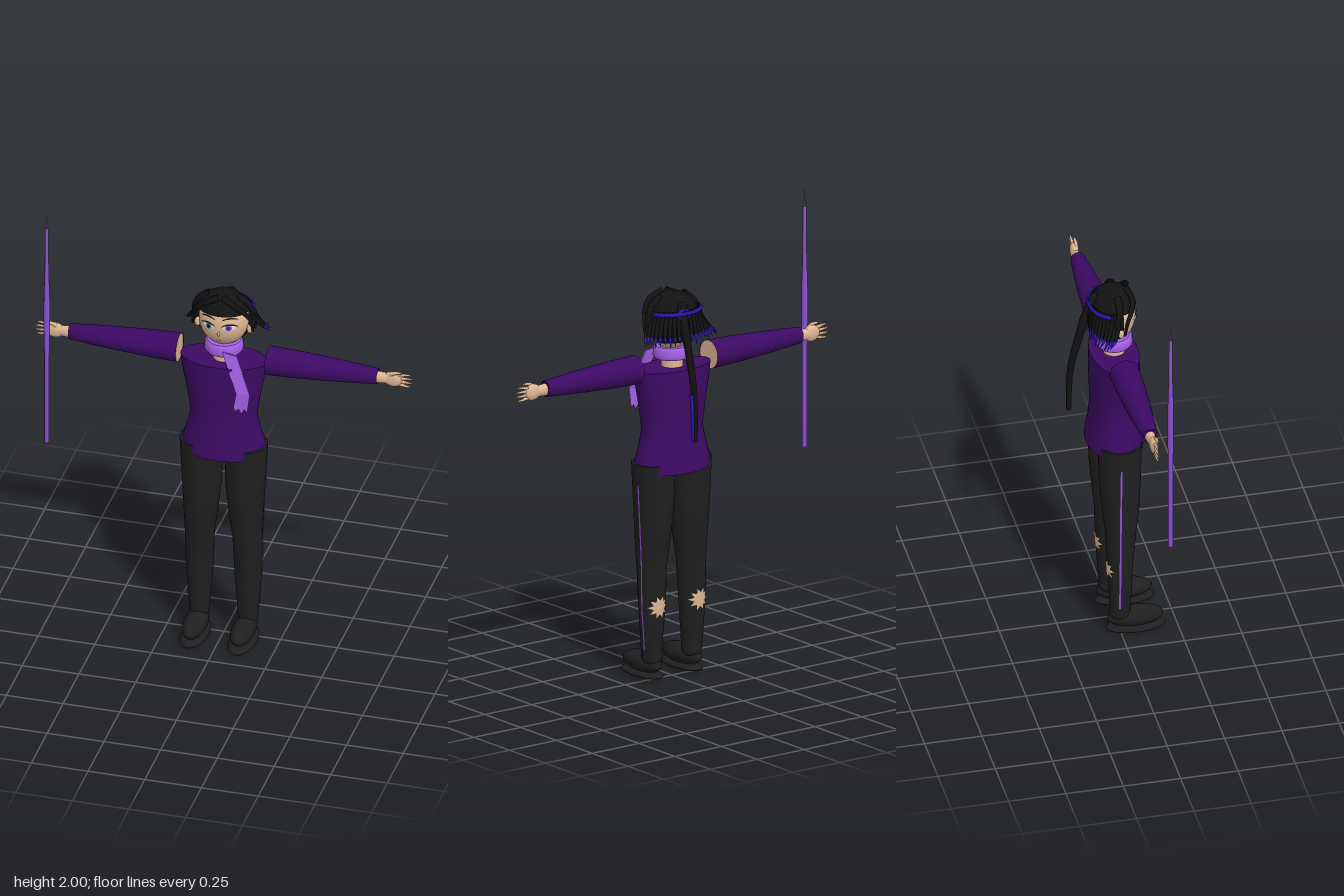
import * as THREE from 'three';

const mat = (name, color, side = THREE.DoubleSide) => {
  const m = new THREE.MeshStandardMaterial({ color, side });
  m.name = name;
  return m;
};

export function createModel() {
  const root = new THREE.Group();
  const sweater = mat('sweater purple', 0x3c0a64);
  const cloth = mat('trouser black', 0x1f1f1f);
  const hair = mat('hair black', 0x111211);
  const skin = mat('skin', 0xe0b893);
  const scarf = mat('scarf lilac', 0xa560e6);
  const violet = mat('staff violet', 0x8c52d4);
  const indigo = mat('hair tip indigo', 0x2c14b0);
  const white = mat('eye white', 0xe4e4ea);
  const blue = mat('iris blue', 0x4f86b8);
  const steel = mat('spike grey', 0x777780);

  const add = (name, geo, material, x = 0, y = 0, z = 0) => {
    const m = new THREE.Mesh(geo, material);
    m.name = name;
    m.position.set(x, y, z);
    root.add(m);
    return m;
  };
  const ball = (rx, ry, rz, w = 28, h = 18) => new THREE.SphereGeometry(1, w, h).scale(rx, ry, rz);

  // Elliptical loft through rows of [y, rx, rz, cx, cz], top to bottom
  const loft = (rows, open = false, sides = 32) => {
    const n = rows.length - 1;
    const g = new THREE.CylinderGeometry(1, 1, 1, sides, n, open);
    const p = g.attributes.position;
    for (let i = 0; i < p.count; i++) {
      const [y, rx, rz, cx = 0, cz = 0] = rows[Math.round((0.5 - p.getY(i)) * n)];
      p.setXYZ(i, p.getX(i) * rx + cx, y, p.getZ(i) * rz + cz);
    }
    g.computeVertexNormals();
    return g;
  };

  // Tapered lock of hair along a curve, between parameters a and b
  const lock = (name, pts, r0, r1, material, a = 0, b = 1) => {
    const full = new THREE.CatmullRomCurve3(pts.map((q) => new THREE.Vector3(...q)));
    const curve = new THREE.CatmullRomCurve3([0, 1, 2, 3, 4].map((i) => full.getPoint(a + (b - a) * i / 4)));
    const g = new THREE.TubeGeometry(curve, 10, 1, 6);
    const p = g.attributes.position, v = new THREE.Vector3();
    for (let i = 0; i < p.count; i++) {
      const t = Math.floor(i / 7) / 10, c = curve.getPointAt(t);
      v.fromBufferAttribute(p, i).sub(c).multiplyScalar(r0 + (r1 - r0) * t).add(c);
      p.setXYZ(i, v.x, v.y, v.z);
    }
    add(name, g, material);
  };

  // Thin patch laid on a surface z = f(x, y); the rim may be jagged
  const decal = (name, cx, cy, w, h, f, material, jag = 0, bend = 0) => {
    const g = new THREE.RingGeometry(0.001, 1, 20, 4);
    const p = g.attributes.position;
    for (let i = 0; i < p.count; i++) {
      const k = 1 - (i % 21 % 2) * jag;
      const x = cx + p.getX(i) * w * k;
      const y = cy + p.getY(i) * h * k - bend * p.getX(i) ** 2;
      p.setXYZ(i, x, y, f(x, y));
    }
    g.computeVertexNormals();
    add(name, g, material);
  };

  // Sweater body and neck
  add('sweaterBody', loft([
    [1.37, 0.19, 0.103], [1.3, 0.18, 0.106], [1.2, 0.16, 0.105], [1.1, 0.145, 0.102],
    [1.02, 0.163, 0.11], [0.96, 0.182, 0.119], [0.92, 0.185, 0.123],
  ]), sweater);
  add('neck', new THREE.CylinderGeometry(0.045, 0.047, 0.13, 24), skin, 0, 1.42, 0);

  // Legs, shoes, side stripes and torn patches
  const legRows = [
    [0.96, 0.094, 0.094, 0.098, 0.003], [0.75, 0.085, 0.089, 0.096, 0.003], [0.6, 0.073, 0.078, 0.1, 0.006],
    [0.5, 0.064, 0.066, 0.105, 0.005], [0.33, 0.06, 0.056, 0.107, 0], [0.2, 0.05, 0.049, 0.107, 0.002],
    [0.09, 0.043, 0.043, 0.107, 0.003],
  ];
  const legAt = (y) => {
    let i = 0;
    while (i < legRows.length - 2 && y < legRows[i + 1][0]) i++;
    const a = legRows[i], b = legRows[i + 1], t = (a[0] - y) / (a[0] - b[0]);
    return a.map((v, k) => v + (b[k] - v) * t);
  };
  for (const s of [-1, 1]) {
    add('trouserLeg', loft(legRows.map(([y, rx, rz, cx, cz]) => [y, rx, rz, cx * s, cz])), cloth);
    add('shoe', ball(0.05, 0.045, 0.122), cloth, s * 0.106, 0.066, 0.068);
    add('ankle', ball(0.042, 0.05, 0.045), cloth, s * 0.106, 0.1, 0);
    add('sole', ball(0.058, 0.018, 0.13), cloth, s * 0.106, 0.018, 0.07);
    const g = new THREE.PlaneGeometry(0.008, 0.73, 1, 24);
    const p = g.attributes.position;
    for (let i = 0; i < p.count; i++) {
      const y = p.getY(i) + 0.505, [, rx, , cx] = legAt(y);
      p.setXYZ(i, s * (cx + rx + 0.002), y, p.getX(i) - 0.01);
    }
    g.computeVertexNormals();
    add('sideStripe', g, violet);
    const back = (x, y) => {
      const [, rx, rz, cx, cz] = legAt(y);
      return cz - rz * Math.sqrt(Math.max(0, 1 - ((x - s * cx) / rx) ** 2)) - 0.003;
    };
    decal('tornPatch', s * 0.108, 0.33, 0.05, 0.05, back, skin, 0.4);
  }

  // Arms: sleeve, bare inner end, wrist, palm, fingers
  for (const s of [-1, 1]) {
    const along = (g) => g.rotateZ(-s * Math.PI / 2);
    add('sleeve', along(loft([
      [0.68, 0.035, 0.031], [0.6, 0.042, 0.04], [0.48, 0.05, 0.052], [0.34, 0.058, 0.06], [0.195, 0.063, 0.065],
    ], true)), sweater, 0, 1.383, 0);
    add('armEnd', new THREE.CircleGeometry(0.062, 28).rotateY(-s * Math.PI / 2), skin, s * 0.197, 1.383, 0);
    add('cuffEnd', new THREE.CircleGeometry(0.031, 28).rotateY(s * Math.PI / 2), sweater, s * 0.678, 1.383, 0);
    add('wrist', along(loft([[0.73, 0.024, 0.015], [0.67, 0.027, 0.023]])), skin, 0, 1.38, 0);
    add('palm', ball(0.042, 0.036, 0.018), skin, s * 0.745, 1.38, 0);
    for (let i = 0; i < 4; i++) {
      const o = i - 1.5;
      lock('finger', [[s * 0.765, 1.38 + o * 0.013, 0], [s * 0.8, 1.38 + o * 0.018, 0],
        [s * (0.832 - Math.abs(o) * 0.007), 1.38 + o * 0.019, 0]], 0.009, 0.004, skin);
    }
    lock('thumb', [[s * 0.73, 1.4, 0.005], [s * 0.757, 1.416, 0.01], [s * 0.785, 1.418, 0.01]], 0.011, 0.005, skin);
  }

  // Staff with a needle tip
  const staff = [[0, 0.86], [0.011, 0.86], [0.011, 1.3], [0.014, 1.42], [0.014, 1.55], [0.009, 1.72], [0.008, 1.92], [0, 1.92]];
  add('staff', new THREE.LatheGeometry(staff.map((q) => new THREE.Vector2(...q)), 8), violet, -0.762, 0, 0.07);
  add('staffSpike', new THREE.CylinderGeometry(0.0015, 0.004, 0.08, 6), steel, -0.762, 1.96, 0.07);

  // Scarf wrap and hanging tail
  add('scarfWrap', loft([[1.46, 0.072, 0.066], [1.452, 0.082, 0.076], [1.42, 0.084, 0.08], [1.408, 0.076, 0.072]]), scarf);
  const tail = new THREE.Shape([[0.015, 1.44], [0.08, 1.43], [0.145, 1.265], [0.135, 1.18], [0.122, 1.192], [0.11, 1.17],
    [0.097, 1.19], [0.08, 1.178], [0.074, 1.195], [0.085, 1.265]].map((q) => new THREE.Vector2(...q)));
  const tailGeo = new THREE.ExtrudeGeometry(tail, { depth: 0.008, bevelEnabled: false });
  const tp = tailGeo.attributes.position;
  for (let i = 0; i < tp.count; i++) tp.setZ(i, tp.getZ(i) + 0.075 + Math.min(1, (1.44 - tp.getY(i)) / 0.18) * 0.034);
  tailGeo.computeVertexNormals();
  add('scarfTail', tailGeo, scarf);

  // Head, ears, nose
  add('head', ball(0.108, 0.12, 0.09, 36, 24), skin, 0, 1.565, 0);
  add('nose', ball(0.006, 0.011, 0.01, 12, 8), skin, 0, 1.532, 0.085);
  const face = (lift) => (x, y) => 0.09 * Math.sqrt(Math.max(0, 1 - (x / 0.108) ** 2 - ((y - 1.565) / 0.12) ** 2)) + lift;
  for (const s of [-1, 1]) {
    add('ear', ball(0.013, 0.022, 0.014, 14, 10), skin, s * 0.115, 1.53, 0.005);
    decal('eyeWhite', s * 0.046, 1.566, 0.027, 0.013, face(0.002), white);
    decal('iris', s * 0.044, 1.566, 0.014, 0.013, face(0.004), s < 0 ? blue : violet);
    decal('pupil', s * 0.044, 1.566, 0.007, 0.009, face(0.006), s < 0 ? hair : indigo);
    decal('upperLash', s * 0.047, 1.583, 0.034, 0.004, face(0.005), hair, 0, 0.012);
    decal('eyebrow', s * 0.048, 1.61, 0.034, 0.0035, face(0.004), hair, 0, 0.01);
  }
  decal('mouth', 0, 1.49, 0.013, 0.0015, face(0.002), hair);

  // Hair: crown cap and back shell
  const cap = (ps, pl, ts, tl) => new THREE.SphereGeometry(1, 36, 16, ps, pl, ts, tl).scale(0.122, 0.125, 0.102);
  add('hairCrown', cap(0, Math.PI * 2, 0, 1.2), hair, 0, 1.575, -0.003);
  add('hairBack', cap(Math.PI - 0.2, Math.PI + 0.4, 1.15, 1.2), hair, 0, 1.575, -0.003);
  add('hairBand', new THREE.TorusGeometry(1, 0.06, 6, 30, Math.PI * 0.8).rotateX(-Math.PI / 2)
    .rotateY(Math.PI * 0.1).scale(0.128, 0.16, 0.104), indigo, 0, 1.622, -0.006);

  // Swept front locks on each side
  for (const s of [-1, 1]) {
    lock('frontLock', [[s * 0.01, 1.69, 0.05], [s * 0.08, 1.655, 0.066], [s * 0.122, 1.6, 0.034], [s * 0.132, 1.53, 0.018]],
      0.015, 0.006, hair);
    lock('sideLock', [[s * 0.06, 1.68, 0], [s * 0.115, 1.64, 0], [s * 0.135, 1.59, -0.015], [s * 0.13, 1.52, -0.025]],
      0.018, 0.006, hair);
  }

  // Layered strands around the back, flaring at the sides, with coloured tips
  for (let i = 0; i <= 20; i++) {
    const a = Math.PI * (i / 20), c = Math.cos(a), n = -Math.sin(a), w = Math.abs(c);
    const flare = 1.06 + 0.42 * w ** 1.5;
    const end = 1.472 + 0.02 * w + (i % 3) * 0.008;
    const pts = [[c * 0.11, 1.63, n * 0.085 - 0.008], [c * 0.13, 1.58, n * 0.095 - 0.01],
      [c * 0.132 * (0.5 + flare / 2), 1.53, n * 0.095 - 0.012 - 0.02 * w], [c * 0.127 * flare, end, n * 0.088 - 0.02 - 0.04 * w]];
    lock('backStrand', pts, 0.012, 0.008, hair, 0, 0.7);
    lock('strandTip', pts, 0.008, 0.001, indigo, 0.69, 1);
  }

  // Ponytail with tie and a coloured streak at its end
  const pony = [[0.01, 1.64, -0.08], [0.018, 1.6, -0.105], [0.02, 1.5, -0.128], [0.022, 1.39, -0.168], [0.022, 1.25, -0.188], [0.022, 1.08, -0.192]];
  add('ponytailBase', ball(0.03, 0.05, 0.025, 16, 12), hair, 0.01, 1.62, -0.085);
  add('hairTie', new THREE.TorusGeometry(0.024, 0.008, 8, 18), indigo, 0.014, 1.615, -0.1);
  lock('ponytail', pony, 0.021, 0.011, hair);
  lock('ponytailStreak', pony.map(([x, y, z]) => [x + 0.01, y, z + 0.003]), 0.012, 0.006, indigo, 0.75, 1);

  return root;
}
